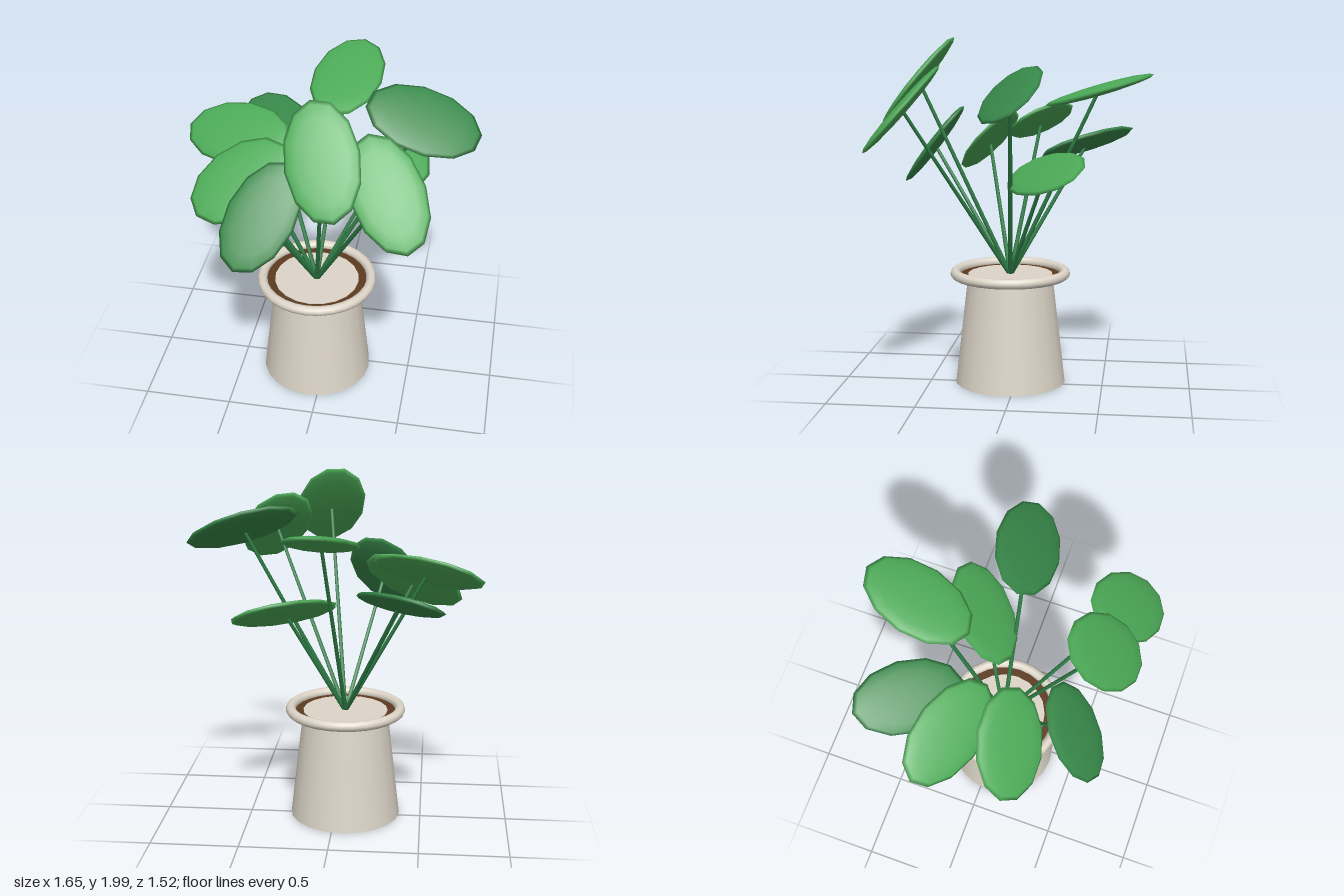
import * as THREE from 'three';

const material = (name, color) => Object.assign(new THREE.MeshStandardMaterial({ color }), { name });

const BASE = new THREE.Vector3(-0.055, 0.63, 0.04); // where all stems meet

// centre x, y, z | half length, half width, yaw in degrees (plan) | slope along x, z | dark?
const LEAVES = [
  [0.035, 1.705, -0.465, 0.305, 0.2, -80, 0, -0.3, false],
  [-0.375, 1.375, -0.385, 0.31, 0.18, 50, 0.29, -0.41, true],
  [-0.52, 1.49, -0.095, 0.322, 0.16, 18, 0.3, -0.64, false],
  [-0.44, 1.375, 0.21, 0.28, 0.174, -9, 0.28, -0.9, false],
  [-0.26, 1.365, 0.515, 0.235, 0.158, -37, 0, -1.25, true],
  [0.07, 1.755, 0.54, 0.223, 0.174, 39, 0, -1.25, false],
  [0.405, 1.62, 0.568, 0.243, 0.168, 33, -0.15, -1.12, false],
  [0.515, 1.708, -0.03, 0.312, 0.17, -8, -0.35, -0.63, true],
  [0.265, 1.265, -0.19, 0.32, 0.172, -34, -0.32, -0.52, false],
];

// Flattened low-sided ellipsoid lying on the plane y = sx * x + sz * z
function leafGeometry(halfLength, halfWidth, yaw, sx, sz) {
  const a = THREE.MathUtils.degToRad(yaw);
  const onPlane = (x, z) => new THREE.Vector3(x, sx * x + sz * z, z);
  const along = onPlane(Math.cos(a), Math.sin(a)).multiplyScalar(halfLength);
  const across = onPlane(-Math.sin(a), Math.cos(a)).multiplyScalar(halfWidth);
  const up = new THREE.Vector3(-sx, 1, -sz).setLength(0.03);
  return new THREE.SphereGeometry(1, 12, 8)
    .applyMatrix4(new THREE.Matrix4().makeBasis(along, up, across));
}

export function createModel() {
  const model = new THREE.Group();
  const clay = material('pale clay', 0xddd5c8);
  const earth = material('brown soil', 0x5c3a1e);
  const stemGreen = material('stem green', 0x2e7d46);
  const lightGreen = material('light leaf green', 0x4caa57);
  const darkGreen = material('dark leaf green', 0x38894a);

  const add = (name, geometry, mat, x, y, z, parent = model) => {
    const mesh = new THREE.Mesh(geometry, mat);
    mesh.name = name;
    mesh.position.set(x, y, z);
    parent.add(mesh);
    return mesh;
  };

  // Pot body, wider at the foot, with a rolled rim and a ring of soil
  add('pot', new THREE.CylinderGeometry(0.245, 0.32, 0.64, 20), clay, BASE.x, 0.32, BASE.z);
  add('potRim', new THREE.TorusGeometry(0.318, 0.029, 10, 28).rotateX(Math.PI / 2), clay, BASE.x, 0.645, BASE.z);
  add('soil', new THREE.CylinderGeometry(0.295, 0.295, 0.015, 24), earth, BASE.x, 0.627, BASE.z);

  // One stem and one leaf per row
  const foliage = new THREE.Group();
  foliage.name = 'foliage';
  model.add(foliage);
  const up = new THREE.Vector3(0, 1, 0);
  for (const [x, y, z, halfLength, halfWidth, yaw, sx, sz, dark] of LEAVES) {
    const reach = new THREE.Vector3(x, y, z).sub(BASE);
    const length = reach.length();
    const stem = add('stem', new THREE.CylinderGeometry(0.01, 0.013, length, 6).translate(0, length / 2, 0),
      stemGreen, BASE.x, BASE.y, BASE.z, foliage);
    stem.quaternion.setFromUnitVectors(up, reach.normalize());
    add('leaf', leafGeometry(halfLength, halfWidth, yaw, sx, sz), dark ? darkGreen : lightGreen, x, y, z, foliage);
  }
  return model;
}
